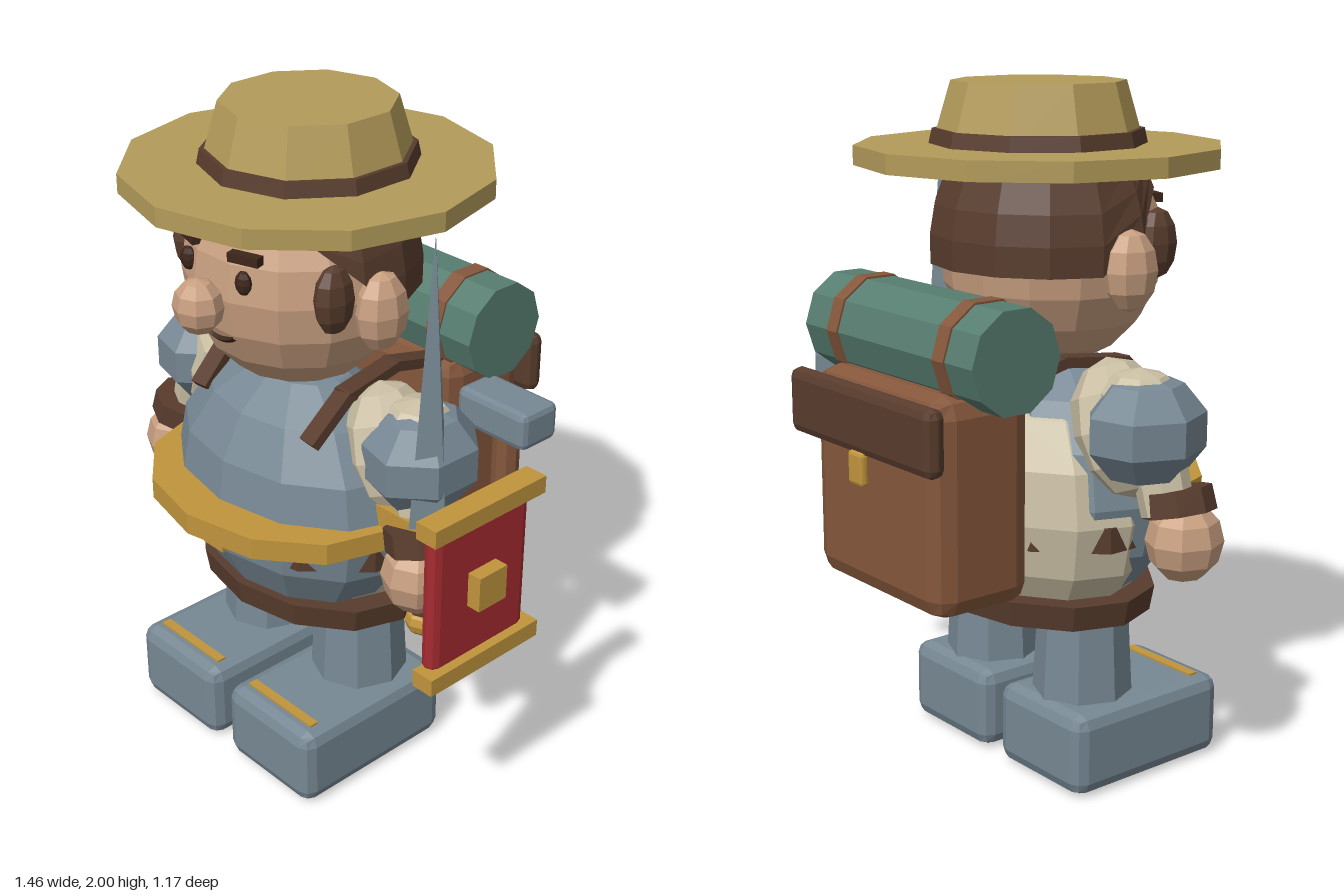
import * as THREE from 'three';
import { RoundedBoxGeometry } from 'three/addons/geometries/RoundedBoxGeometry.js';
import { ParametricGeometry } from 'three/addons/geometries/ParametricGeometry.js';

const paint = (name, color, side = THREE.FrontSide) => {
  const m = new THREE.MeshStandardMaterial({ color, side, flatShading: true });
  m.name = name;
  return m;
};

export function createModel() {
  const skin = paint('skin', 0xc89f80);
  const darkBrown = paint('dark brown', 0x583c2d, THREE.DoubleSide);
  const leather = paint('leather', 0x85573c);
  const steel = paint('steel blue', 0x778894);
  const gold = paint('gold', 0xc0943c);
  const straw = paint('straw', 0xb39b5a);
  const cloth = paint('linen', 0xc9bea3);
  const green = paint('blanket green', 0x577d70);
  const red = paint('red', 0xa52b30);
  const dark = paint('darkest brown', 0x3d261a);

  const model = new THREE.Group();
  model.name = 'traveller';
  // the figure stands a little to the right of the model's middle
  const figure = new THREE.Group();
  figure.name = 'figure';
  figure.position.x = -0.08;
  model.add(figure);

  const add = (name, geo, mat, pos, parent = figure) => {
    const mesh = new THREE.Mesh(geo, mat);
    mesh.name = name;
    mesh.position.set(...pos);
    parent.add(mesh);
    return mesh;
  };
  const ball = (rx, ry, rz, w = 12, h = 8) => new THREE.SphereGeometry(1, w, h).scale(rx, ry, rz);
  const drum = (rt, rb, h, n, sz = 1) => new THREE.CylinderGeometry(rt, rb, h, n).scale(1, 1, sz);
  const box = (x, y, z) => new THREE.BoxGeometry(x, y, z);
  const chamfer = (x, y, z, r) => new RoundedBoxGeometry(x, y, z, 1, r);
  // flat bar running between two points
  const bar = (name, a, b, w, t, mat) => {
    const p = new THREE.Vector3(...a), q = new THREE.Vector3(...b);
    const mesh = add(name, box(w, t, p.distanceTo(q) + t * 0.6), mat, p.clone().add(q).multiplyScalar(0.5).toArray());
    mesh.lookAt(q.clone().add(figure.position));
    return mesh;
  };

  // hat
  add('hatBrim', drum(0.525, 0.525, 0.055, 12), straw, [0, 1.798, 0.055]);
  add('hatBand', drum(0.3, 0.31, 0.045, 10), darkBrown, [0, 1.845, 0.052]);
  add('hatCrown', drum(0.247, 0.3, 0.18, 10), straw, [0, 1.91, 0.052]);

  // head and hair
  add('head', ball(0.33, 0.34, 0.32, 14, 10), skin, [0, 1.53, 0.1]);
  const hair = new ParametricGeometry((u, v, out) => {
    const a = u * Math.PI * 2, c = Math.cos(a);
    const low = 1.49 + 0.3 * Math.max(0, c + 0.1);
    const y = 1.83 + (low - 1.83) * v;
    const r = Math.sqrt(1 - ((y - 1.54) / 0.4) ** 2);
    out.set(0.345 * r * Math.sin(a), y, 0.08 + 0.335 * r * c);
  }, 14, 4);
  add('hair', hair, darkBrown, [0, 0, 0]);
  add('nose', ball(0.075, 0.08, 0.07, 8, 6), skin, [0, 1.51, 0.455]);
  const smile = new THREE.TorusGeometry(0.12, 0.009, 4, 8, 1.3).rotateZ(-Math.PI / 2 - 0.65);
  add('mouth', smile, dark, [0, 1.515, 0.39]);
  for (const s of [-1, 1]) {
    add('ear', ball(0.065, 0.115, 0.085, 8, 6), skin, [s * 0.34, 1.5, 0.1]);
    add('sideburn', ball(0.045, 0.1, 0.065, 8, 6), darkBrown, [s * 0.3, 1.56, 0.235]);
    add('eye', ball(0.027, 0.035, 0.02, 8, 6), dark, [s * 0.117, 1.595, 0.392]);
    const brow = add('eyebrow', box(0.095, 0.026, 0.03), dark, [s * 0.115, 1.662, 0.382]);
    brow.rotation.y = s * 0.3;
  }

  // torso: linen shirt under a breastplate
  add('shirt', ball(0.425, 0.4, 0.3, 12, 8), cloth, [0, 0.8, 0.045]);
  add('breastplate', ball(0.445, 0.4, 0.315, 12, 8), steel, [0, 0.85, 0.1]);
  add('waistBelt', drum(0.45, 0.45, 0.065, 12, 0.81), gold, [0, 0.852, 0.165]);
  add('beltBuckle', box(0.085, 0.07, 0.06), gold, [0, 0.77, 0.41]);
  add('innerBelt', drum(0.43, 0.43, 0.075, 10, 0.74), darkBrown, [0, 0.765, 0.08]);
  add('hipBelt', drum(0.41, 0.395, 0.075, 12, 0.74), darkBrown, [0, 0.535, 0.05]);
  add('hipTrim', drum(0.36, 0.24, 0.045, 12, 0.74), gold, [0, 0.485, 0.05]);

  // limbs
  for (const s of [-1, 1]) {
    add('shirtSleeve', ball(0.14, 0.2, 0.15, 8, 6), cloth, [s * 0.36, 1.07, 0.06]).rotation.z = s * 0.35;
    add('shoulderCap', ball(0.125, 0.1, 0.12, 8, 5), cloth, [s * 0.44, 1.155, 0.05]);
    add('shoulderPlate', ball(0.165, 0.16, 0.185, 7, 5), steel, [s * 0.46, 1.085, 0.055]);
    add('forearm', drum(0.08, 0.075, 0.2, 8), cloth, [s * 0.49, 0.95, 0.09]).rotation.z = s * 0.3;
    add('cuff', drum(0.1, 0.105, 0.07, 8), darkBrown, [s * 0.525, 0.885, 0.12]).rotation.z = s * 0.25;
    add('hand', ball(0.105, 0.118, 0.115, 8, 6), skin, [s * 0.54, 0.772, 0.135]);
    add('leg', drum(0.13, 0.148, 0.32, 8), steel, [s * 0.21, 0.38, 0.055]);
    add('boot', chamfer(0.37, 0.245, 0.56, 0.04), steel, [s * 0.215, 0.1275, 0.16]);
    add('bootTrim', box(0.28, 0.008, 0.03), gold, [s * 0.215, 0.252, 0.37]);
    add('sole', box(0.28, 0.008, 0.47), dark, [s * 0.215, 0.004, 0.16]);
    // pack straps over the shoulders
    const path = [[s * 0.24, 1.12, 0.27], [s * 0.25, 1.23, 0.15], [s * 0.23, 1.25, -0.05], [s * 0.22, 1.2, -0.24]];
    for (let i = 0; i < 3; i++) bar('shoulderStrap', path[i], path[i + 1], 0.06, 0.03, darkBrown);
  }

  // backpack and bedroll
  add('backpack', chamfer(0.61, 0.62, 0.32, 0.06), leather, [0, 0.91, -0.37]);
  add('packFlap', chamfer(0.68, 0.19, 0.06, 0.027), darkBrown, [0, 1.115, -0.555]);
  add('packBuckle', chamfer(0.07, 0.095, 0.028, 0.01), gold, [0, 0.985, -0.576]);
  const roll = (r, l) => new THREE.CylinderGeometry(r, r, l, 10).rotateZ(Math.PI / 2);
  add('bedroll', roll(0.147, 0.785), green, [0, 1.313, -0.34]);
  for (const s of [-1, 1]) add('bedrollStrap', roll(0.153, 0.05), leather, [s * 0.25, 1.313, -0.34]);

  // hammer hung beside the pack
  add('hammerHead', chamfer(0.26, 0.115, 0.145, 0.02), steel, [0.415, 1.125, -0.25], model);
  add('hammerHandle', drum(0.04, 0.04, 0.56, 8), leather, [0.415, 0.8, -0.255], model);

  // upright sword
  add('swordBlade', new THREE.ConeGeometry(0.066, 0.845, 4).scale(1, 1, 1.15), steel, [0.465, 1.363, 0.11], model);
  add('swordGuard', box(0.33, 0.065, 0.09), gold, [0.475, 0.915, 0.125], model);
  add('swordGrip', drum(0.035, 0.035, 0.28, 8), darkBrown, [0.465, 0.76, 0.125], model);
  add('swordPommel', ball(0.05, 0.045, 0.05, 8, 6), gold, [0.465, 0.612, 0.125], model);

  // shield on the left arm
  add('shieldGrip', box(0.14, 0.06, 0.08), darkBrown, [0.58, 0.79, 0.13], model);
  add('shieldBoard', chamfer(0.055, 0.46, 0.365, 0.026), red, [0.662, 0.85, 0.128], model);
  for (const y of [0.617, 1.087]) add('shieldRail', box(0.072, 0.052, 0.42), gold, [0.681, y, 0.13], model);
  add('shieldBoss', box(0.06, 0.105, 0.105), gold, [0.703, 0.853, 0.13], model);

  return model;
}
